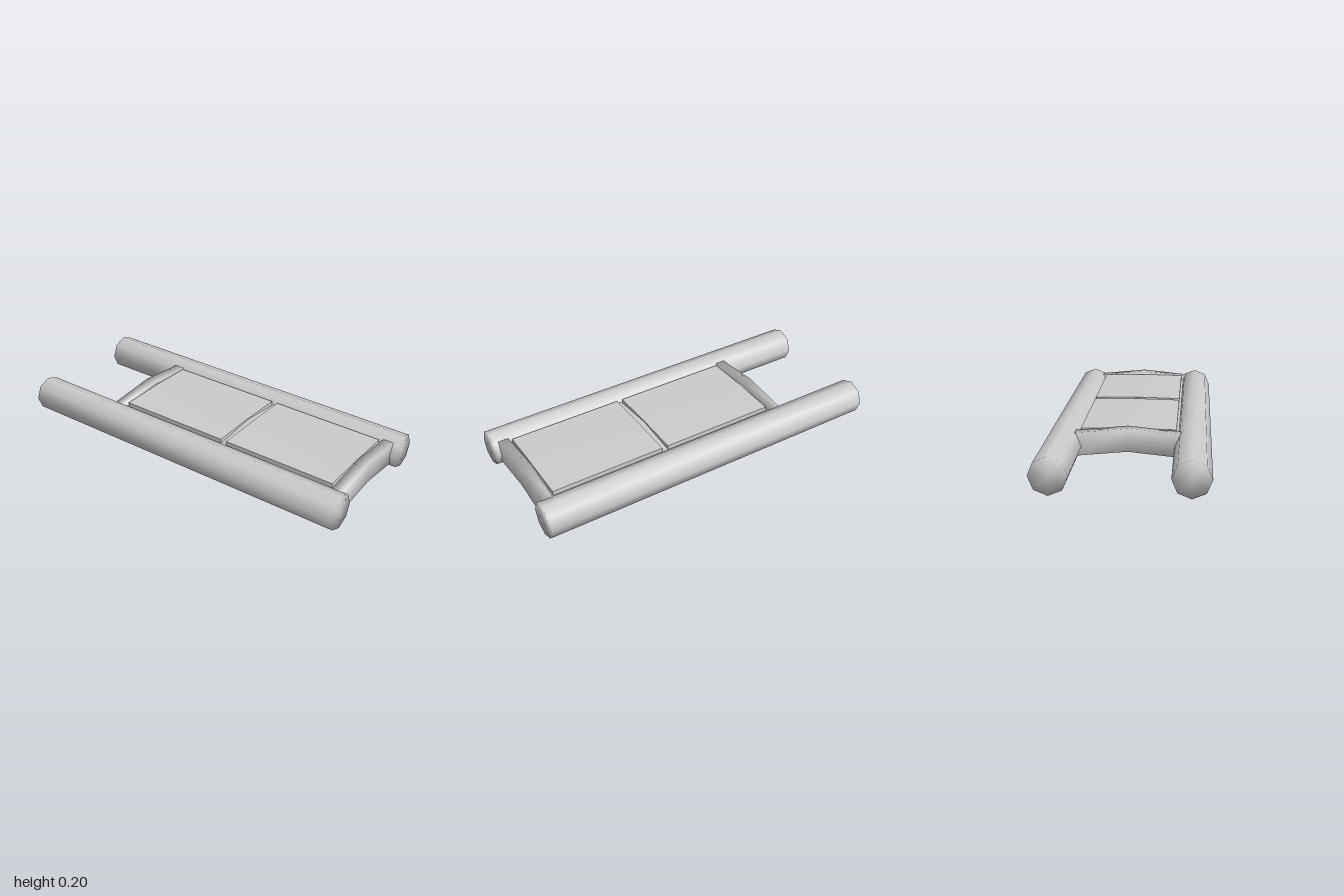
import * as THREE from 'three';
import { mergeVertices } from 'three/addons/utils/BufferGeometryUtils.js';

const material = new THREE.MeshStandardMaterial({ color: 0xcccccc });

// Share the corners so that normals run smoothly around them
function smooth(geometry) {
  geometry.deleteAttribute('normal');
  geometry.deleteAttribute('uv');
  const merged = mergeVertices(geometry);
  merged.computeVertexNormals();
  return merged;
}

// Box with a ridge along x = 0; bottom and top fall to the sides by their own slopes
function archedBox(halfWidth, [bottom, bottomSlope], [top, topSlope], zMin, zMax) {
  const g = new THREE.BoxGeometry(halfWidth * 2, 1, zMax - zMin, 2, 1, 1);
  g.translate(0, 0, (zMin + zMax) / 2);
  const p = g.attributes.position;
  for (let i = 0; i < p.count; i++) {
    const x = Math.abs(p.getX(i));
    p.setY(i, p.getY(i) > 0 ? top - topSlope * x : bottom - bottomSlope * x);
  }
  g.computeVertexNormals();
  return g;
}

export function createModel() {
  const model = new THREE.Group();
  model.name = 'raft';
  const add = (name, geometry) => {
    const mesh = new THREE.Mesh(geometry, material);
    mesh.name = name;
    model.add(mesh);
    return mesh;
  };

  // Two eight-sided floats running the full length
  for (const [side, s] of [['left', 1], ['right', -1]]) {
    const g = new THREE.CylinderGeometry(0.0965, 0.0965, 2, 8, 1);
    g.rotateX(Math.PI / 2);
    add(side + 'Float', smooth(g)).position.set(s * 0.337, 0.0975, 0);
  }

  // Arched cross bars at the ends of the deck
  add('frontCrossBar', smooth(archedBox(0.275, [0.074, 0.1], [0.198, 0.1], 0.913, 0.973)));
  add('backCrossBar', smooth(archedBox(0.275, [0.074, 0.1], [0.198, 0.1], -0.512, -0.454)));

  // Thick deck body between the bars, with an arched top
  add('deck', archedBox(0.262, [0.08, 0.07], [0.175, 0.1], -0.46, 0.916));

  // Two nearly flat panels on the deck with a narrow gap between them
  for (const [name, zMin, zMax] of [['front', 0.25, 0.9], ['back', -0.44, 0.215]]) {
    add(name + 'DeckPanel', archedBox(0.25, [0.16, 0.1], [0.181, 0.02], zMin, zMax));
  }

  return model;
}
